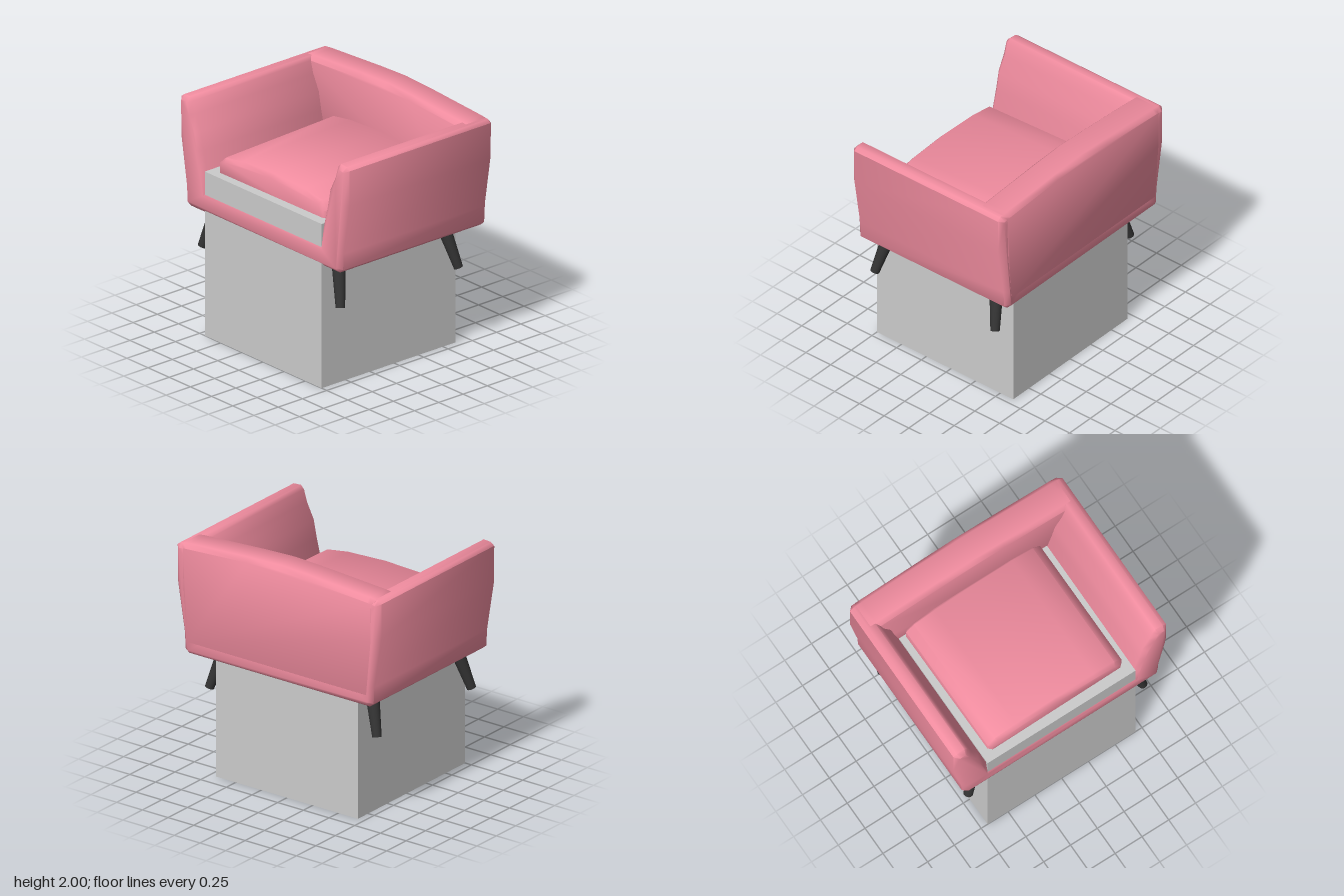
import * as THREE from 'three';
import { toCreasedNormals } from 'three/addons/utils/BufferGeometryUtils.js';

const pink = new THREE.MeshStandardMaterial({ color: 0xf08c9f });
const dark = new THREE.MeshStandardMaterial({ color: 0x333333 });
const grey = new THREE.MeshStandardMaterial({ color: 0xcccccc });

// Closed outline from its right half, mirrored in x
function mirrored(half) {
  const left = half.filter(([x]) => x > 0).map(([x, y]) => [-x, y]).reverse();
  return new THREE.Shape([...half, ...left].map(([x, y]) => new THREE.Vector2(x, y)));
}

// Outline extruded from z0 to z1 with chamfered, softly shaded edges
function padded(name, half, z0, z1, bevel) {
  const geo = new THREE.ExtrudeGeometry(mirrored(half), {
    depth: z1 - z0 - 2 * bevel,
    bevelEnabled: true,
    bevelSize: bevel,
    bevelThickness: bevel,
    bevelOffset: -bevel,
    bevelSegments: 1,
  });
  geo.translate(0, 0, z0 + bevel);
  const mesh = new THREE.Mesh(toCreasedNormals(geo, 0.9), pink);
  mesh.name = name;
  return mesh;
}

export function createModel() {
  const model = new THREE.Group();
  model.name = 'armchair';

  // Base and both arms in one U-shaped section
  model.add(padded('baseAndArms', [
    [0.88, 1.03], [0.915, 1.06], [0.922, 1.2], [0.99, 1.62], [0.992, 1.92],
    [0.96, 1.945], [0.89, 1.95], [0.86, 1.92], [0.83, 1.82], [0.765, 1.69],
    [0.735, 1.54], [0.69, 1.36], [0.668, 1.215],
  ], -0.76, 0.76, 0.035));

  // Backrest with a gently peaked top
  model.add(padded('backrest', [
    [0.9, 1.1], [0.945, 1.6], [0.95, 1.945], [0.88, 1.953], [0.3, 1.988], [0, 2.0],
  ], -0.761, -0.49, 0.035));

  // Domed seat cushion, slightly raised at the back and turned
  const cushion = padded('seatCushion', [
    [0.63, -0.09], [0.63, 0.08], [0.56, 0.145], [0.36, 0.175], [0, 0.19],
  ], -0.6, 0.58, 0.03);
  cushion.position.set(0, 1.39, 0.09);
  cushion.rotation.set(0.03, 0.011, 0);
  model.add(cushion);

  // Block running from the ground through the base
  const block = new THREE.Mesh(new THREE.BoxGeometry(1.38, 1.385, 1.38), grey);
  block.name = 'block';
  block.position.set(0, 0.6925, 0.06);
  model.add(block);

  // Splayed, tapered legs
  const up = new THREE.Vector3(0, 1, 0);
  for (const [sx, side] of [[1, 'Left'], [-1, 'Right']]) {
    for (const [sz, end] of [[1, 'front'], [-1, 'back']]) {
      const foot = new THREE.Vector3(sx * 0.815, 0.695, 0.058 + sz * 0.608);
      const top = new THREE.Vector3(sx * 0.695, 1.1, 0.058 + sz * 0.525);
      const axis = top.clone().sub(foot);
      const leg = new THREE.Mesh(
        new THREE.CylinderGeometry(0.06, 0.037, axis.length(), 16), dark);
      leg.name = `${end}${side}Leg`;
      leg.position.copy(foot).add(top).multiplyScalar(0.5);
      leg.quaternion.setFromUnitVectors(up, axis.normalize());
      model.add(leg);
    }
  }
  return model;
}
